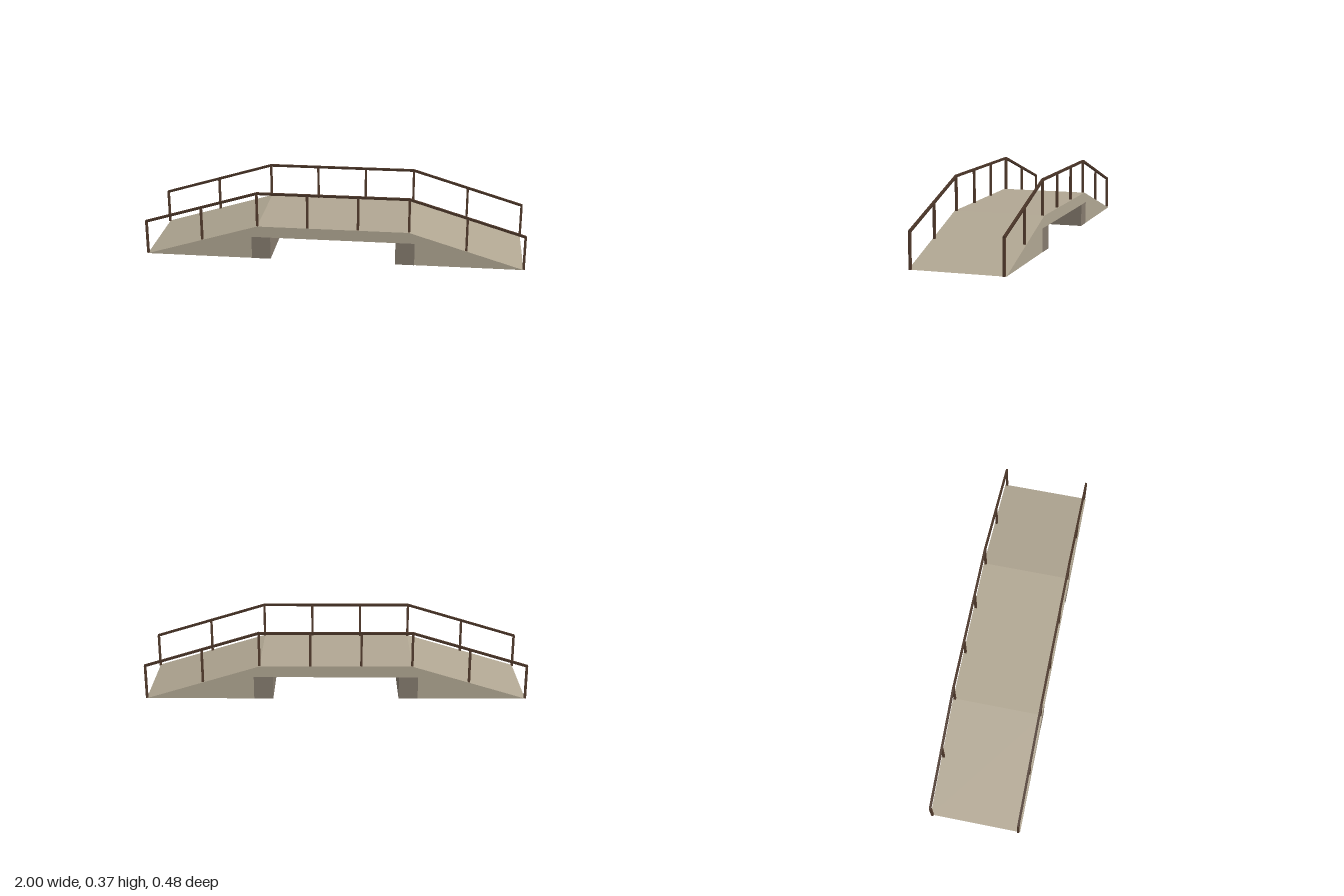
import * as THREE from 'three';

const END = 0.994, CREST = 0.398, RISE = 0.18, HALF = 0.24;
const RAIL_Z = 0.23, RAIL_H = 0.18, BAR = 0.012;

// Height of the walking surface at x
const deckY = (x) => RISE * Math.min(1, (END - Math.abs(x)) / (END - CREST));

export function createModel() {
  const bridge = new THREE.Group();
  bridge.name = 'footbridge';

  const material = (name, color) => {
    const m = new THREE.MeshStandardMaterial({ color });
    m.name = name;
    return m;
  };
  const stone = material('pale stone', 0xb0a692);
  const pierStone = material('dark stone', 0x857b6e);
  const postWood = material('post brown', 0x573f30);
  const railWood = material('rail brown', 0x4a3528);

  const add = (parent, name, geometry, mat, x = 0, y = 0, z = 0) => {
    const mesh = new THREE.Mesh(geometry, mat);
    mesh.name = name;
    mesh.position.set(x, y, z);
    parent.add(mesh);
    return mesh;
  };

  // Flat span
  add(bridge, 'deck', new THREE.BoxGeometry(CREST * 2, 0.06, HALF * 2), stone, 0, RISE - 0.03, 0);

  // Wedge ramps and the piers under the crests
  for (const side of [-1, 1]) {
    const label = side > 0 ? 'left' : 'right';
    const wedge = new THREE.Shape([
      new THREE.Vector2(side * END, 0),
      new THREE.Vector2(side * CREST, RISE),
      new THREE.Vector2(side * CREST, 0),
    ]);
    const geometry = new THREE.ExtrudeGeometry(wedge, { depth: HALF * 2, bevelEnabled: false });
    add(bridge, label + 'Ramp', geometry, stone, 0, 0, -HALF);
    add(bridge, label + 'Pier', new THREE.BoxGeometry(0.1, 0.121, HALF * 2 + 0.001), pierStone,
      side * 0.379, 0.06, 0);
  }

  // Railings along both edges
  const postXs = [-END, -(END + CREST) / 2, -CREST, -CREST / 3, CREST / 3, CREST, (END + CREST) / 2, END];
  const railXs = [-END, -CREST, CREST, END];
  for (const side of [-1, 1]) {
    const railing = new THREE.Group();
    railing.name = side > 0 ? 'frontRailing' : 'backRailing';
    railing.position.z = side * RAIL_Z;
    bridge.add(railing);

    for (const x of postXs) {
      add(railing, 'post', new THREE.BoxGeometry(BAR, RAIL_H, BAR), postWood, x, deckY(x) + RAIL_H / 2, 0);
    }
    for (let i = 0; i < 3; i++) {
      const a = new THREE.Vector2(railXs[i], deckY(railXs[i]) + RAIL_H);
      const b = new THREE.Vector2(railXs[i + 1], deckY(railXs[i + 1]) + RAIL_H);
      const rail = add(railing, 'handrail', new THREE.BoxGeometry(a.distanceTo(b) + 0.006, BAR, BAR), railWood,
        (a.x + b.x) / 2, (a.y + b.y) / 2, 0);
      rail.rotation.z = Math.atan2(b.y - a.y, b.x - a.x);
    }
  }
  return bridge;
}
